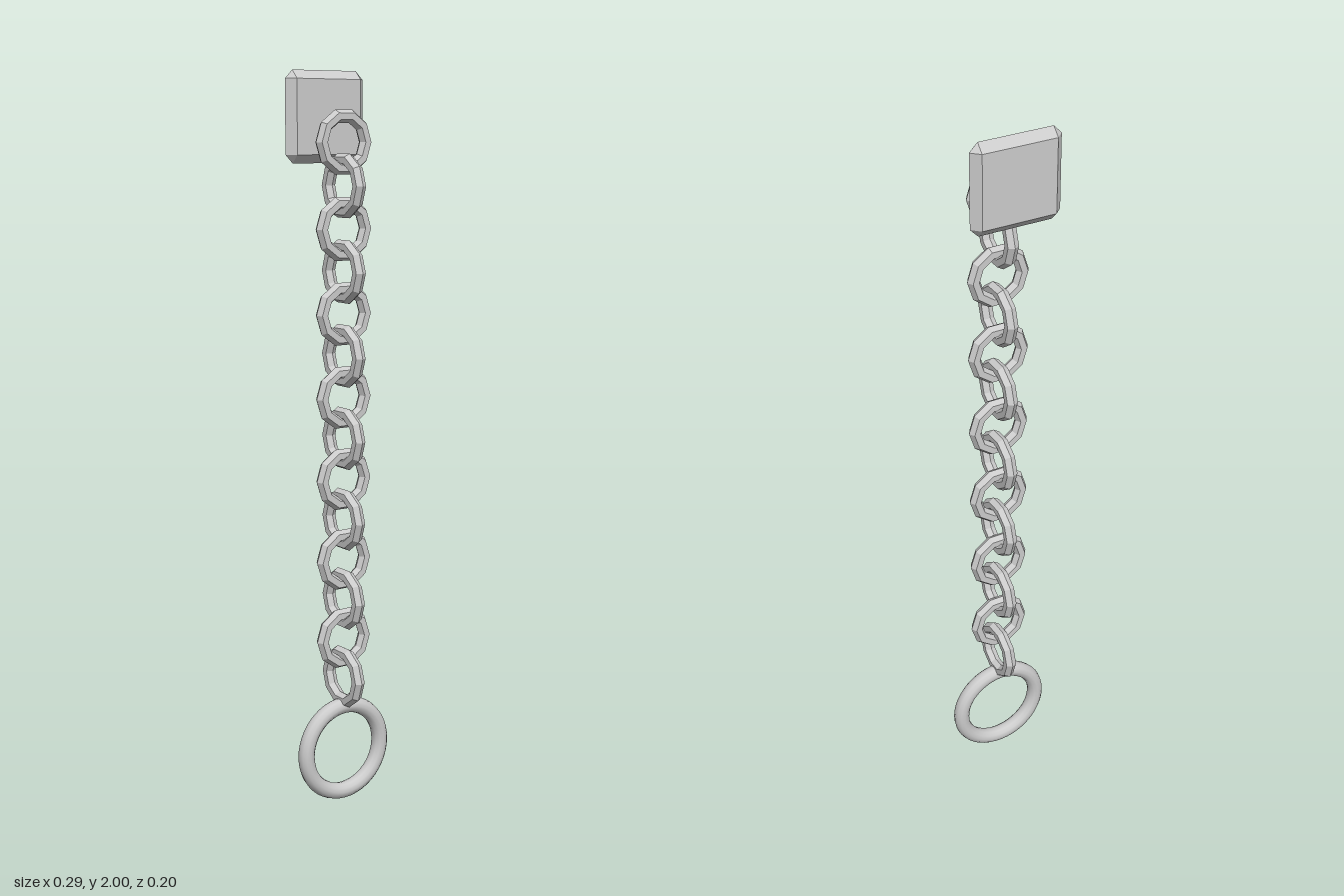
import * as THREE from 'three';
import { ConvexGeometry } from 'three/addons/geometries/ConvexGeometry.js';

const CHAIN_Z = 0.01;
const flat = new THREE.MeshStandardMaterial({ color: 0xcccccc, flatShading: true });
const smooth = new THREE.MeshStandardMaterial({ color: 0xcccccc });

// Box whose edges are chamfered to a ridge halfway through its depth
function bevelledPlate(halfW, halfH, halfD, bevel) {
  const w = halfW - bevel, h = halfH - bevel;
  const points = [];
  for (const sx of [-1, 1]) {
    for (const sy of [-1, 1]) {
      points.push(
        new THREE.Vector3(sx * w, sy * h, halfD),
        new THREE.Vector3(sx * w, sy * h, -halfD),
        new THREE.Vector3(sx * halfW, sy * h, 0),
        new THREE.Vector3(sx * w, sy * halfH, 0)
      );
    }
  }
  return new ConvexGeometry(points);
}

export function createModel() {
  const model = new THREE.Group();
  model.name = 'hangingChain';

  // Wall plate behind the top link
  const plate = new THREE.Mesh(bevelledPlate(0.124, 0.12, 0.0225, 0.0225), flat);
  plate.name = 'wallPlate';
  plate.position.set(0, 1.88, -0.0775);
  model.add(plate);

  // Chain of low-poly links, every second one turned a quarter
  const chain = new THREE.Group();
  chain.name = 'chain';
  const linkGeometry = new THREE.TorusGeometry(0.0697, 0.0178, 6, 10);
  const count = 14, topY = 1.815, bottomY = 0.357;
  for (let i = 0; i < count; i++) {
    const link = new THREE.Mesh(linkGeometry, flat);
    link.name = `chainLink${i + 1}`;
    link.position.set(0, THREE.MathUtils.lerp(topY, bottomY, i / (count - 1)), CHAIN_Z);
    if (i % 2) link.rotation.y = Math.PI / 2;
    chain.add(link);
  }
  model.add(chain);

  // Large smooth pull ring at the bottom
  const ring = new THREE.Mesh(new THREE.TorusGeometry(0.125, 0.0225, 12, 48), smooth);
  ring.name = 'pullRing';
  ring.position.set(0, 0.1475, CHAIN_Z);
  model.add(ring);

  return model;
}
